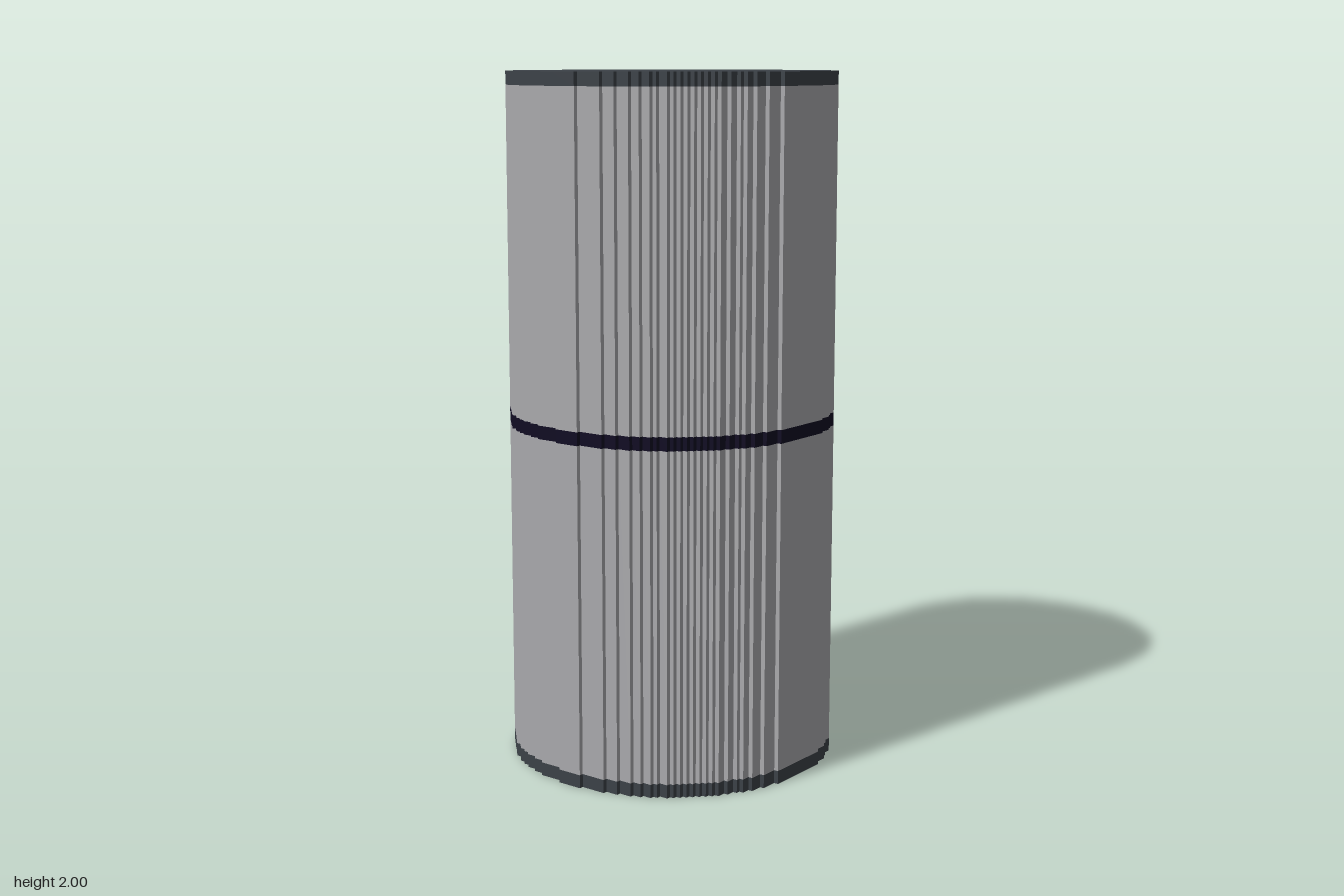
import * as THREE from 'three';

const LAYERS = 156;            // blocks from bottom to top
const S = 2 / LAYERS;          // size of one block
const N = 73;                  // blocks across the disc
const CENTRE = 36.93, R2 = 1335.5;
const toX = i => (i - 37.5) * S;
const toZ = j => (j - 36.5) * S;

const mat = (name, color) => {
  const m = new THREE.MeshStandardMaterial({ color });
  m.name = name;
  return m;
};

// Stepped outline of a disc made of square blocks
function discShape() {
  const left = [], right = [];
  for (let j = 0; j < N; j++) {
    const half = Math.sqrt(R2 - (j + 0.5 - CENTRE) ** 2);
    const a = Math.ceil(CENTRE - half - 0.5);
    const b = Math.floor(CENTRE + half - 0.5) + 1;
    for (const z of [toZ(j), toZ(j + 1)]) {
      left.push(new THREE.Vector2(toX(a), -z));
      right.push(new THREE.Vector2(toX(b), -z));
    }
  }
  // drop repeated and collinear points
  const ring = [...left, ...right.reverse()];
  const points = ring.filter((p, i) => {
    const q = ring[(i + ring.length - 1) % ring.length], r = ring[(i + 1) % ring.length];
    return Math.abs((p.x - q.x) * (r.y - p.y) - (p.y - q.y) * (r.x - p.x)) > 1e-9;
  });
  return new THREE.Shape(points);
}

export function createModel() {
  const group = new THREE.Group();
  const shell = mat('light grey', 0xa9a9ac);
  const dark = mat('dark slate', 0x3b4147);
  const ink = mat('dark indigo', 0x0f0a22);
  const steel = mat('blue grey', 0x69747c);
  const shape = discShape();

  // Stacked drum sections: name, bottom layer, top layer, material
  const sections = [
    ['bottomCap', 0, 3, dark],
    ['lowerBody', 3, 77, shell],
    ['middleBand', 77, 80, ink],
    ['upperBody', 80, 153, shell],
    ['topCap', 153, LAYERS, dark],
  ];
  for (const [name, y0, y1, material] of sections) {
    const g = new THREE.ExtrudeGeometry(shape, { depth: (y1 - y0) * S, bevelEnabled: false });
    g.rotateX(-Math.PI / 2).translate(0, y0 * S, 0);
    const mesh = new THREE.Mesh(g, material);
    mesh.name = name;
    group.add(mesh);
  }

  // Upright rail along the +x side
  const rail = new THREE.Mesh(new THREE.BoxGeometry(2 * S, 152 * S, 4 * S), steel);
  rail.position.set(toX(74), 78 * S, toZ(37));
  rail.name = 'sideRail';
  group.add(rail);
  return group;
}
